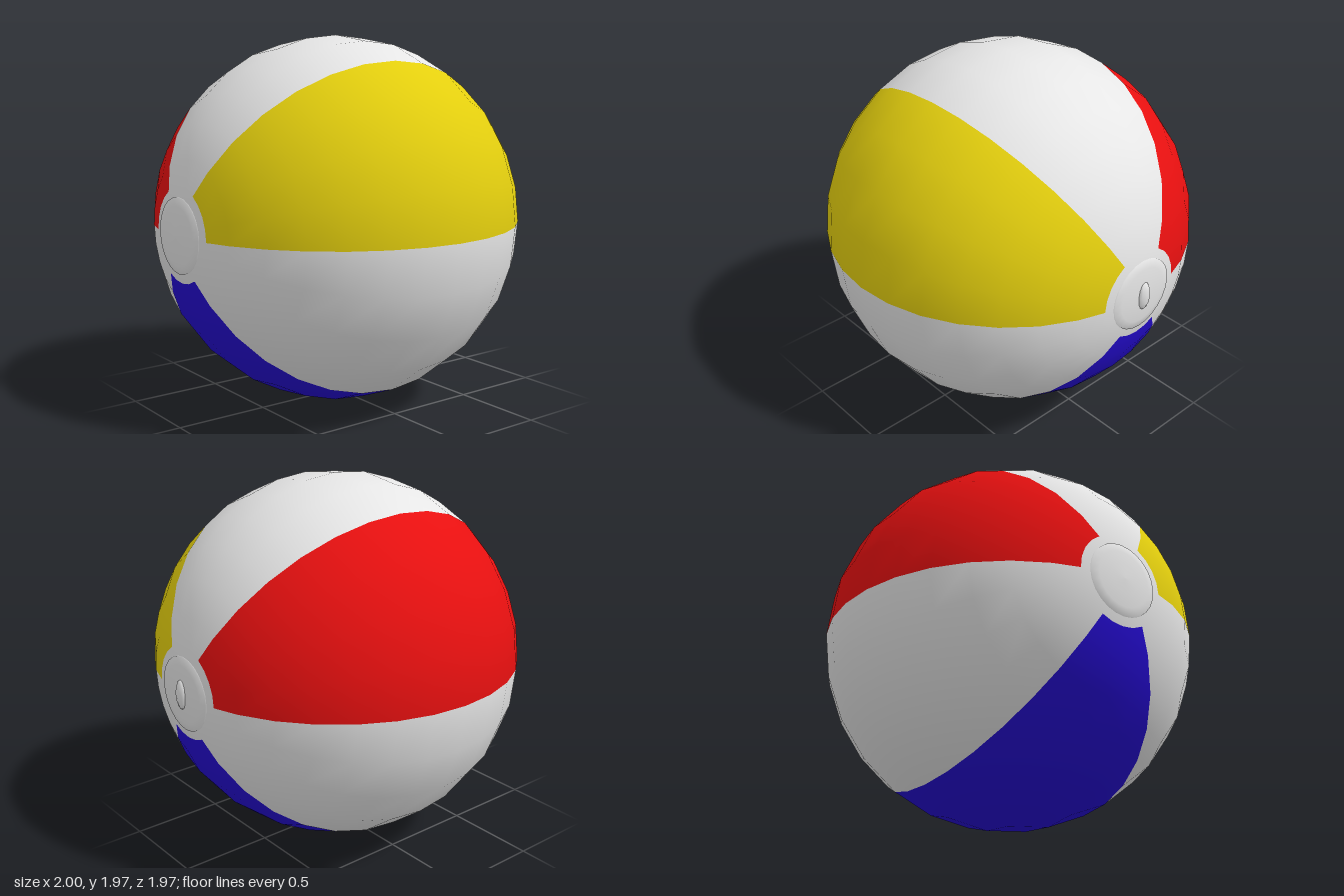
import * as THREE from 'three';

const R = 0.985;
const deg = THREE.MathUtils.degToRad;
const mat = (name, color) => {
  const m = new THREE.MeshStandardMaterial({ color });
  m.name = name;
  return m;
};

// Point on the ball's 32-sided outline; angle in degrees from the -axis pole.
const outline = (a) => new THREE.Vector2(Math.max(0, R * Math.sin(deg(a))), -R * Math.cos(deg(a)));

// Piece of the ball between two pole angles and two turns round the axis.
function ballPatch(name, material, from, to, turn, sweep) {
  const angles = [from];
  for (let i = 0; i <= 16; i++) {
    const a = i * 11.25;
    if (a > from + 0.01 && a < to - 0.01) angles.push(a);
  }
  angles.push(to);
  const geo = new THREE.LatheGeometry(angles.map(outline), sweep / 15, deg(-turn - sweep), deg(sweep));
  // True sphere normals keep the seams between panels smooth.
  const p = geo.attributes.position, v = new THREE.Vector3();
  for (let i = 0; i < p.count; i++) {
    v.fromBufferAttribute(p, i).normalize();
    geo.attributes.normal.setXYZ(i, v.x, v.y, v.z);
  }
  const mesh = new THREE.Mesh(geo, material);
  mesh.name = name;
  return mesh;
}

export function createModel() {
  const white = mat('white vinyl', 0xe6e6e6);
  const yellow = mat('yellow vinyl', 0xe4cf0e);
  const red = mat('red vinyl', 0xe81010);
  const blue = mat('blue vinyl', 0x250cd4);

  const model = new THREE.Group();
  model.name = 'beachBall';

  // Ball built round the y axis, then laid along x.
  const ball = new THREE.Group();
  ball.name = 'ball';
  ball.rotation.z = -Math.PI / 2;
  ball.position.set(-0.01, R, 0);
  model.add(ball);

  // Six panels, white between the colours
  const edge = 14.2;
  const panels = [['yellow', yellow], ['topWhite', white], ['red', red],
    ['backWhite', white], ['blue', blue], ['frontWhite', white]];
  panels.forEach(([name, m], i) =>
    ball.add(ballPatch(name + 'Panel', m, edge, 180 - edge, i * 60, 60)));

  // White pole areas with a thin raised disc on each
  const discProfile = [[0.197, 0.955], [0.193, 0.971], [0.15, 0.979], [0.08, 0.987], [0, 0.99]]
    .map(([r, y]) => new THREE.Vector2(r, y));
  for (const side of ['left', 'right']) {
    const isLeft = side === 'left';
    ball.add(ballPatch(side + 'Pole', white, isLeft ? 180 - edge : 0, isLeft ? 180 : edge, 0, 360));
    const disc = new THREE.Mesh(new THREE.LatheGeometry(discProfile, 24), white);
    disc.name = side + 'Disc';
    if (!isLeft) disc.rotation.x = Math.PI;
    ball.add(disc);
  }

  // Small oval valve on the left pole
  const valve = new THREE.Mesh(new THREE.SphereGeometry(1, 8, 6), white);
  valve.name = 'valve';
  valve.scale.set(0.025, 0.08, 0.041);
  valve.position.set(0.975, R, 0);
  model.add(valve);

  return model;
}
